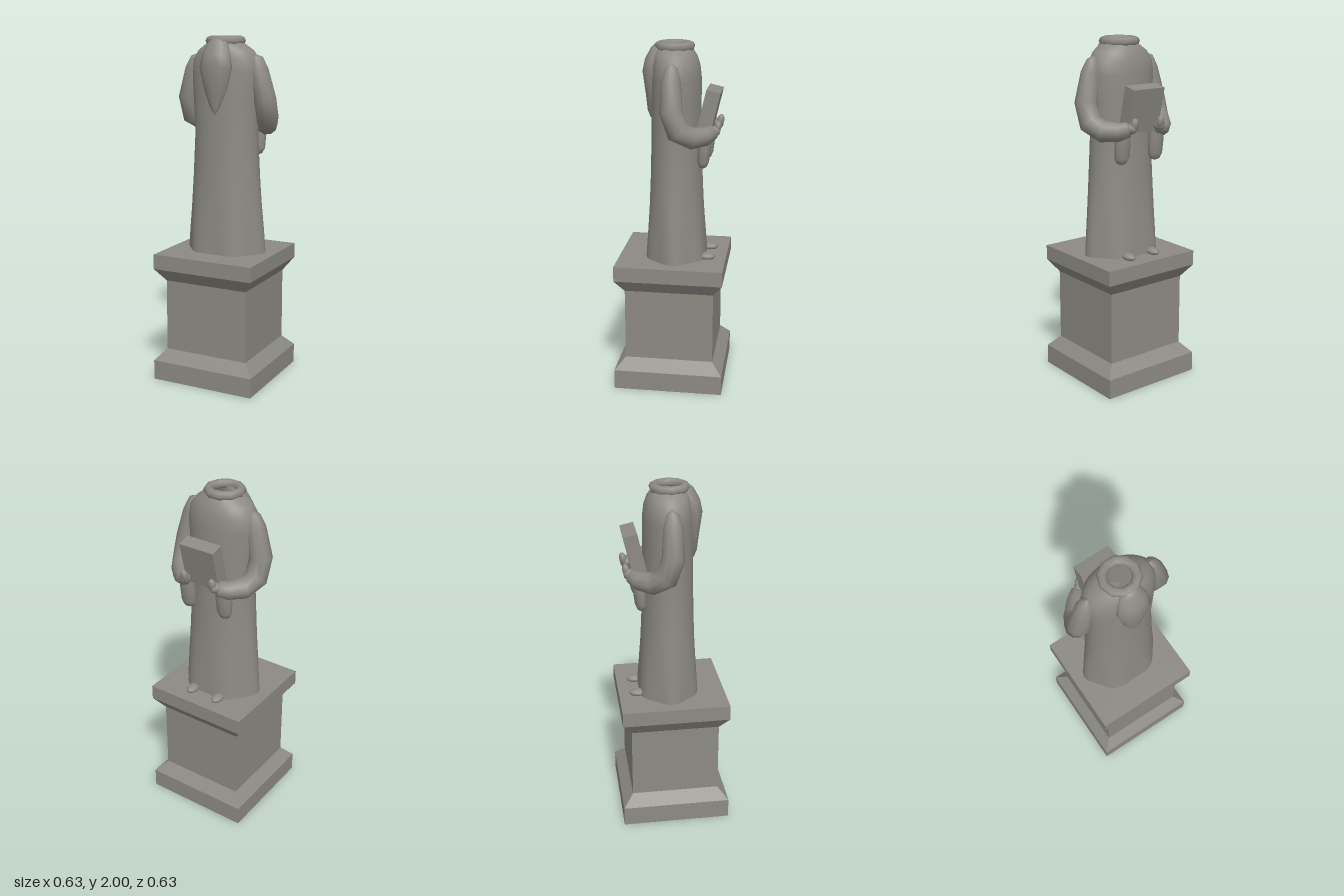
import * as THREE from 'three';

const V = (x, y, z) => new THREE.Vector3(x, y, z);

// Smooth skin over a list of closed rings with equal point counts
function skin(rings) {
  const n = rings[0].length, pos = [], idx = [];
  rings.forEach(r => r.forEach(p => pos.push(p.x, p.y, p.z)));
  for (let i = 0; i < rings.length - 1; i++) {
    for (let j = 0; j < n; j++) {
      const a = i * n + j, b = i * n + (j + 1) % n;
      idx.push(a, b, a + n, b, b + n, a + n);
    }
  }
  const g = new THREE.BufferGeometry();
  g.setAttribute('position', new THREE.Float32BufferAttribute(pos, 3));
  g.setIndex(idx);
  g.computeVertexNormals();
  return g;
}

// Upright form from elliptical sections [y, rx, rz, centreZ, fold depth]
function upright(sections, n) {
  return skin(sections.map(([y, rx, rz, cz, fold = 0]) =>
    Array.from({ length: n }, (_, j) => {
      const t = j / n * Math.PI * 2, k = 1 - fold * Math.cos(6 * t);
      return V(Math.sin(t) * rx * k, y, cz + Math.cos(t) * rz * k);
    })));
}

// Limb along a path of [x, y, z, radius]
function limb(path, ref, n) {
  const pts = path.map(p => V(p[0], p[1], p[2]));
  return skin(path.map((p, i) => {
    const t = pts[Math.min(i + 1, pts.length - 1)].clone().sub(pts[Math.max(i - 1, 0)]).normalize();
    const u = ref.clone().addScaledVector(t, -ref.dot(t)).normalize();
    const v = t.clone().cross(u);
    return Array.from({ length: n }, (_, j) => {
      const a = j / n * Math.PI * 2;
      return pts[i].clone().addScaledVector(u, Math.cos(a) * p[3]).addScaledVector(v, Math.sin(a) * p[3]);
    });
  }));
}

export function createModel() {
  const stone = new THREE.MeshStandardMaterial({ color: 0x8c8a82, side: THREE.DoubleSide });
  const model = new THREE.Group();
  model.name = 'statue';
  const add = (name, geo, x = 0, y = 0, z = 0) => {
    const m = new THREE.Mesh(geo, stone);
    m.name = name;
    m.position.set(x, y, z);
    model.add(m);
    return m;
  };

  // Square pedestal, hollow under the base
  const profile = [[0, 0.115], [0.312, 0.115], [0.312, 0], [0.315, 0], [0.315, 0.115], [0.256, 0.18],
    [0.256, 0.6], [0.31, 0.675], [0.31, 0.762], [0, 0.762]]
    .map(([r, y]) => new THREE.Vector2(r * Math.SQRT2, y));
  const block = new THREE.LatheGeometry(profile, 4, Math.PI / 4).toNonIndexed();
  block.computeVertexNormals();
  add('pedestal', block);

  // Robe with folds towards the hem, open at the neck
  add('robe', upright([
    [0.762, 0.236, 0.178, -0.015, 0.045], [0.9, 0.227, 0.168, -0.014, 0.03],
    [1.05, 0.215, 0.158, -0.013, 0.015], [1.2, 0.203, 0.15, -0.012], [1.45, 0.19, 0.142, -0.011],
    [1.65, 0.2, 0.14, -0.011], [1.8, 0.209, 0.138, -0.012], [1.87, 0.2, 0.132, -0.01],
    [1.92, 0.165, 0.12, -0.006], [1.955, 0.115, 0.105, 0], [1.975, 0.085, 0.085, 0]
  ], 36));

  // Rolled collar
  add('collar', new THREE.TorusGeometry(0.088, 0.027, 8, 10).rotateX(Math.PI / 2), 0, 1.973, 0);

  // Hood hanging down the back
  add('hood', upright([
    [1.57, 0.004, 0.004, 0.135], [1.61, 0.03, 0.025, 0.13], [1.7, 0.07, 0.045, 0.12],
    [1.83, 0.1, 0.065, 0.118], [1.9, 0.088, 0.06, 0.108], [1.965, 0.06, 0.04, 0.092],
    [1.985, 0.035, 0.02, 0.09], [1.985, 0.001, 0.001, 0.09]
  ], 10));

  // Book leaning outwards in the hands
  add('book', new THREE.BoxGeometry(0.216, 0.25, 0.08), 0, 1.62, -0.2).rotation.x = -0.23;

  for (const s of [1, -1]) {
    const side = s > 0 ? 'left' : 'right';
    const ball = (name, r, p, tilt = 0) => {
      const m = add(side + name, new THREE.SphereGeometry(1, 10, 8), s * p[0], p[1], p[2]);
      m.scale.set(...r);
      m.rotation.x = tilt;
    };
    // Bent arm in a sleeve
    add(side + 'Arm', limb([
      [0.185, 1.9, -0.01, 0.002], [0.19, 1.88, -0.01, 0.035], [0.205, 1.81, -0.008, 0.055],
      [0.242, 1.65, -0.012, 0.064], [0.238, 1.54, -0.05, 0.066], [0.205, 1.5, -0.12, 0.062],
      [0.15, 1.5, -0.19, 0.052], [0.11, 1.515, -0.225, 0.042], [0.105, 1.517, -0.23, 0.002]
    ].map(([x, y, z, r]) => [s * x, y, z, r]), V(s * 0.8, 0, -0.6), 10));
    // Drooping cuff below the wrist
    const cuff = add(side + 'Cuff', upright([
      [1.31, 0.003, 0.003, -0.175], [1.32, 0.03, 0.022, -0.175], [1.35, 0.046, 0.033, -0.177],
      [1.43, 0.05, 0.037, -0.183], [1.5, 0.045, 0.035, -0.19]
    ], 10));
    cuff.position.x = s * 0.12;
    // Hand and thumb gripping the book
    ball('Hand', [0.032, 0.03, 0.035], [0.1, 1.52, -0.235]);
    ball('Thumb', [0.024, 0.04, 0.022], [0.092, 1.54, -0.252], -0.23);
    // Toe of the shoe under the hem
    ball('Shoe', [0.033, 0.022, 0.05], [0.088, 0.775, -0.2]);
  }
  return model;
}
